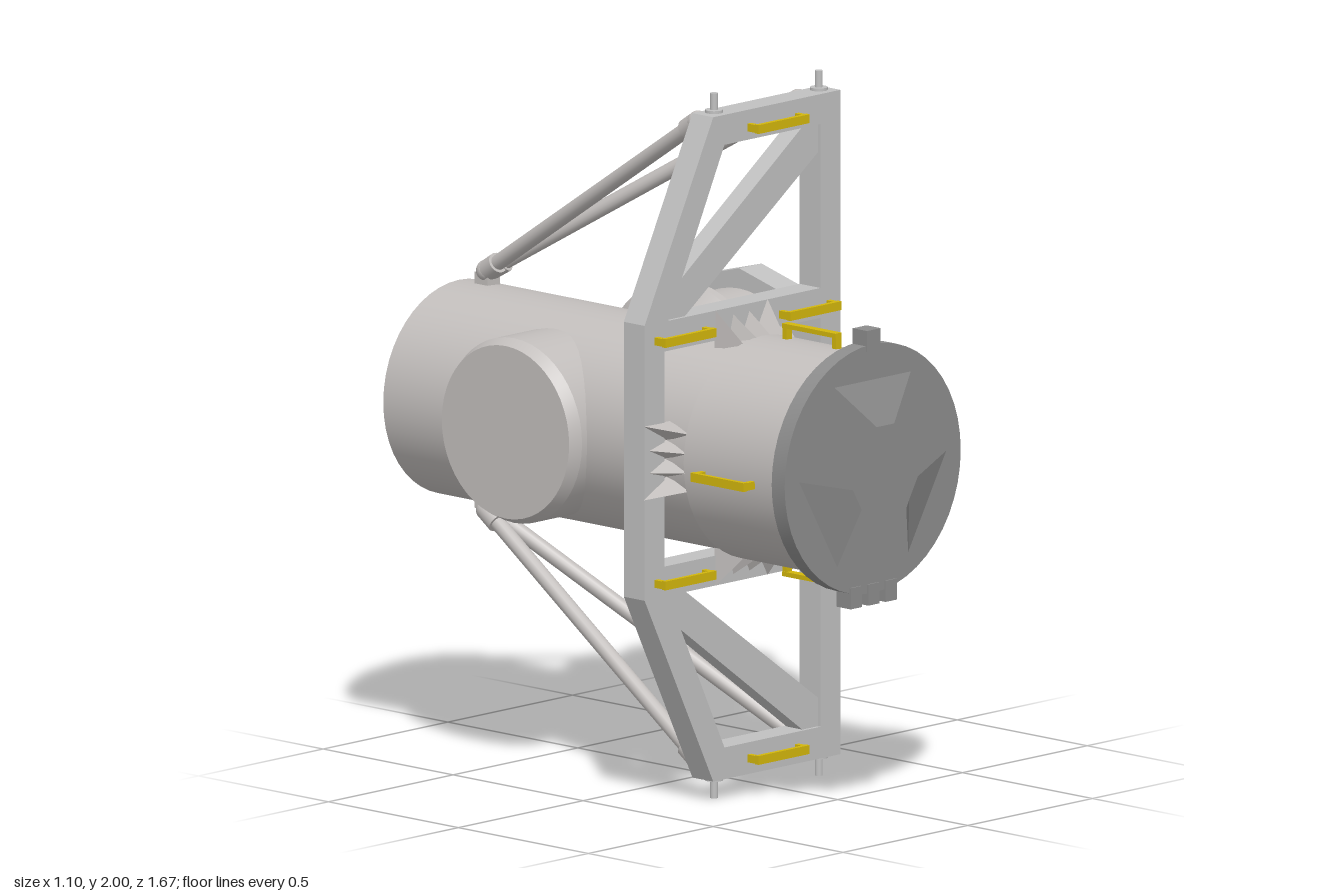
import * as THREE from 'three';
import { toCreasedNormals } from 'three/addons/utils/BufferGeometryUtils.js';
import { ConvexGeometry } from 'three/addons/geometries/ConvexGeometry.js';

const CX = -0.157, CY = 1.005, SIDE_Z = -0.287;
const V = (x, y, z) => new THREE.Vector3(x, y, z);

export function createModel() {
  const model = new THREE.Group();
  model.name = 'airlockModule';

  const mat = (name, color) => {
    const m = new THREE.MeshStandardMaterial({ color });
    m.name = name;
    return m;
  };
  const hull = mat('hullGrey', 0xc2bebc);
  const metal = mat('frameGrey', 0xc0c0c0);
  const dark = mat('hatchGrey', 0x8c8c8c);
  const yellow = mat('handrailYellow', 0xd2b60c);

  const add = (name, geo, material, parent = model) => {
    const mesh = new THREE.Mesh(geo, material);
    mesh.name = name;
    parent.add(mesh);
    return mesh;
  };
  // Turned part: profile is [radius, distance along axis]
  const turned = (profile, segments = 48) => toCreasedNormals(
    new THREE.LatheGeometry(profile.map(([r, d]) => new THREE.Vector2(r, d)), segments), 0.45);
  const alongZ = (profile) => turned(profile).rotateX(Math.PI / 2).translate(CX, CY, 0);
  const alongX = (profile) => turned(profile).rotateZ(-Math.PI / 2).translate(0, CY, SIDE_Z);
  const box = (w, h, d, x, y, z) => new THREE.BoxGeometry(w, h, d).translate(x, y, z);
  // Rod between two points
  const rod = (name, a, b, r, material, parent, sides = 16) => {
    const d = b.clone().sub(a);
    const mesh = add(name, new THREE.CylinderGeometry(r, r, d.length(), sides), material, parent);
    mesh.position.copy(a).add(b).multiplyScalar(0.5);
    mesh.quaternion.setFromUnitVectors(V(0, 1, 0), d.normalize());
  };

  // Main pressure hull and wider front section
  add('mainHull', alongZ([[0, -0.835], [0.272, -0.835], [0.302, -0.808], [0.302, 0.36]]), hull);
  add('frontSection', alongZ([[0, 0.36], [0.315, 0.36], [0.315, 0.71]]), hull);

  // Front hatch with rim
  add('hatchRim', alongZ([[0.315, 0.70], [0.353, 0.735], [0.353, 0.785], [0, 0.785]]), dark);
  add('hatchTopTab', box(0.055, 0.06, 0.055, CX, 1.37, 0.762), dark);
  for (const x of [-0.07, 0, 0.07]) {
    add('hatchBottomTab', box(0.045, 0.06, 0.055, CX + x, 0.65, 0.762), dark);
  }

  // Three guide petals rising towards the hatch centre
  for (let i = 0; i < 3; i++) {
    const petal = add('guidePetal', new ConvexGeometry([
      V(-0.155, 0.255, 0), V(0.155, 0.255, 0),
      V(-0.035, 0.13, 0.05), V(0.035, 0.13, 0.05),
      V(-0.05, 0.19, -0.005), V(0.05, 0.19, -0.005),
    ]), dark);
    petal.position.set(CX, CY, 0.784);
    petal.rotation.z = i * Math.PI * 2 / 3;
  }

  // Pointed gussets in four clusters around the neck
  for (let side = 0; side < 4; side++) {
    for (const deg of [-15, -5, 5, 15]) {
      const tip = Math.abs(deg) > 10 ? 0.405 : 0.37;
      const g = add('neckGusset', new ConvexGeometry([
        V(-0.028, 0.295, 0.275), V(0.028, 0.295, 0.275), V(0, tip, 0.28), V(0, 0.312, 0.368),
      ]), hull);
      g.position.set(CX, CY, 0);
      g.rotation.z = side * Math.PI / 2 + THREE.MathUtils.degToRad(deg);
    }
  }

  // Side docking port on the left, with flared collar and twelve-sided flange
  add('sidePort', alongX([[0.25, CX], [0.25, 0.145], [0.318, 0.205], [0.318, 0.23], [0.277, 0.272],
    [0.265, 0.276], [0.265, 0.548], [0.258, 0.555], [0.245, 0.555], [0.24, 0.547], [0, 0.547]]), hull);
  const flange = new THREE.CylinderGeometry(0.322, 0.322, 0.09, 12).toNonIndexed();
  flange.computeVertexNormals();
  add('portFlange', flange.rotateZ(-Math.PI / 2).translate(0.47, CY, SIDE_Z), metal);

  // Short closed stub on the right
  add('sideStub', alongX([[0, -0.512], [0.245, -0.512], [0.262, -0.478], [0.262, CX]]), hull);

  // Support frame: outline with three openings
  const poly = (pts, Type) => new Type(pts.map(([x, y]) => new THREE.Vector2(x, y)));
  const outline = poly([[0.24, 0.06], [0.24, 1.945], [-0.27, 1.945], [-0.545, 1.395],
    [-0.545, 0.615], [-0.27, 0.06]], THREE.Shape);
  const opening = [[-0.225, 1.86], [0.16, 1.86], [0.16, 1.395], [-0.45, 1.395]];
  outline.holes.push(
    poly(opening, THREE.Path),
    poly(opening.map(([x, y]) => [x, 2 * CY - y]), THREE.Path),
    poly([[-0.465, 0.70], [0.16, 0.70], [0.16, 1.31], [-0.465, 1.31]], THREE.Path));
  add('supportFrame', new THREE.ExtrudeGeometry(outline, { depth: 0.08, bevelEnabled: false })
    .translate(0, 0, 0.2), metal);

  // Upper and lower halves share braces, struts and pins
  for (const s of [1, -1]) {
    const half = new THREE.Group();
    half.name = s > 0 ? 'upperBracing' : 'lowerBracing';
    model.add(half);
    const y = (v) => CY + s * (v - CY);

    // Diagonal in the frame panel
    const brace = poly([[0.10, y(1.862)], [-0.42, y(1.48)], [-0.455, y(1.39)], [-0.38, y(1.39)],
      [0.162, y(1.78)], [0.162, y(1.862)]], THREE.Shape);
    add('diagonalBrace', new THREE.ExtrudeGeometry(brace, { depth: 0.06, bevelEnabled: false })
      .translate(0, 0, 0.21), metal, half);

    // Struts from the frame corners to the rear of the hull
    for (const [x0, x1] of [[-0.222, -0.14], [0.18, -0.127]]) {
      const a = V(x0, y(1.91), 0.175), b = V(x1, y(1.345), -0.715);
      rod('strut', a, b, 0.022, hull, half);
      for (const [p, t] of [[a, 0.055], [b, -0.055]]) {
        const dir = b.clone().sub(a).normalize();
        rod('strutSleeve', p, p.clone().addScaledVector(dir, t), 0.03, hull, half);
        add('strutJoint', new THREE.SphereGeometry(0.031, 16, 10).translate(p.x, p.y, p.z), hull, half);
      }
      rod('frameLug', V(x0, y(1.915), 0.21), a, 0.022, metal, half);
    }
    add('hullLug', box(0.05, 0.06, 0.05, -0.134, y(1.31), -0.72), hull, half);

    // Mounting pins with washers
    for (const x of [-0.22, 0.2]) {
      rod('mountPin', V(x, s > 0 ? 1.92 : 0.08, 0.235), V(x, s > 0 ? 2 : 0, 0.235), 0.011, metal, half, 12);
      rod('pinWasher', V(x, s > 0 ? 1.94 : 0.065, 0.235), V(x, s > 0 ? 1.953 : 0.05, 0.235), 0.025, metal, half);
    }
  }

  // Handrail: a bar on two posts, lying along x and standing off along z
  const handrail = (name) => {
    const rail = new THREE.Group();
    rail.name = name;
    add('railBar', box(0.205, 0.025, 0.013, 0, 0, 0.036), yellow, rail);
    for (const x of [-0.095, 0.095]) {
      add('railPost', box(0.015, 0.022, 0.04, x, 0, 0.015), yellow, rail);
    }
    model.add(rail);
    return rail;
  };
  for (const [x, y] of [[-0.03, 1.895], [-0.403, 1.345], [0.097, 1.345],
    [-0.403, 0.657], [0.097, 0.657], [-0.03, 0.105]]) {
    handrail('frameHandrail').position.set(x, y, 0.28);
  }

  // Handrails around the front section
  for (const [dx, dy, ox, oy] of [[0, 1, 0.022, 0], [0, -1, 0.022, 0], [1, 0, 0, 0.018], [-1, 0, 0, -0.022]]) {
    const rail = handrail('hullHandrail');
    const out = V(dx, dy, 0), along = V(0, 0, 1);
    rail.quaternion.setFromRotationMatrix(
      new THREE.Matrix4().makeBasis(along, out.clone().cross(along), out));
    rail.position.set(CX + dx * 0.316 + ox, CY + dy * 0.316 + oy, 0.53);
  }

  return model;
}
